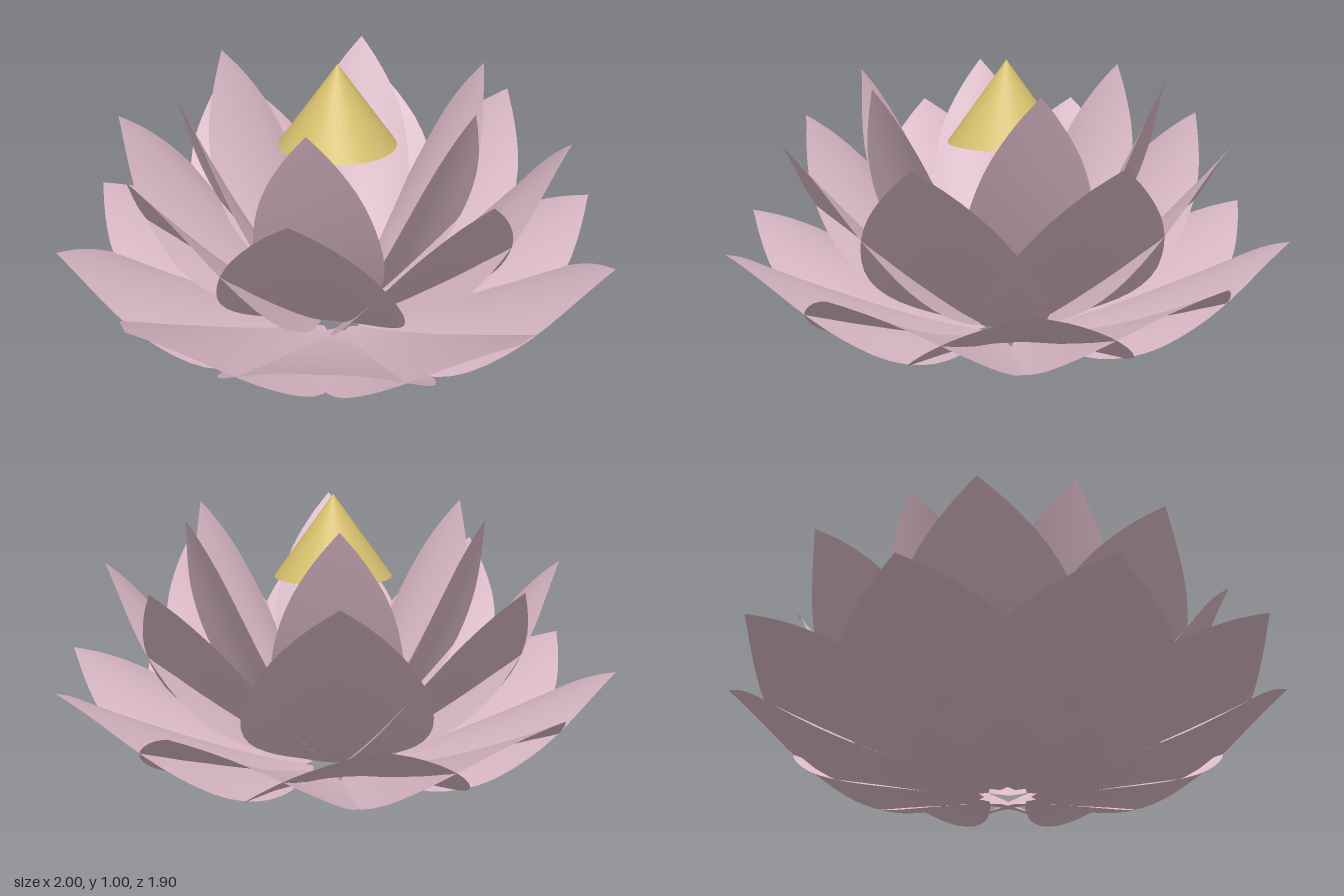
import * as THREE from 'three';

const petalPink = new THREE.MeshStandardMaterial({ color: 0xd8b7c4, side: THREE.DoubleSide });
petalPink.name = 'petalPink';
const seedGold = new THREE.MeshStandardMaterial({ color: 0xd4be6c });
seedGold.name = 'seedGold';

// Half-width of a petal along its length: [distance from the centre, half-width]
const BASE = 0.08, WIDEST = 0.36;
const outline = new THREE.SplineCurve([
  [BASE, 0], [0.11, 0.05], [0.17, 0.125], [0.27, 0.24], [0.4, 0.33], [0.54, WIDEST],
  [0.68, 0.325], [0.8, 0.25], [0.91, 0.13], [1, 0],
].map(([r, w]) => new THREE.Vector2(r, w)));

// A petal that reaches along +x with a raised midrib and drooping sides, tilted about the flower's base
function petalGeometry({ tilt, length, width }) {
  const across = 8, along = 24, droop = 0.07;
  const geometry = new THREE.PlaneGeometry(1, 1, across, along);
  const position = geometry.attributes.position;
  for (let i = 0; i <= along; i++) {
    const { x: r, y } = outline.getPoint(i / along);
    const half = Math.max(y, 0);
    const t = Math.max((r - BASE) / (1 - BASE), 0);
    const slope = Math.atan(0.565 * Math.pow(t, 0.3));
    for (let j = 0; j <= across; j++) {
      const u = (j / across) * 2 - 1;
      const drop = droop * width * Math.pow((u * half) / WIDEST, 2);
      position.setXYZ(i * (across + 1) + j,
        (r + drop * Math.sin(slope)) * length,
        (0.4 * Math.pow(t, 1.3) - drop * Math.cos(slope)) * length,
        -u * half * width);
    }
  }
  geometry.rotateZ(tilt);
  geometry.computeVertexNormals();
  return geometry;
}

export function createModel() {
  const model = new THREE.Group();
  model.name = 'waterLily';

  // Three rings of petals, each steeper and narrower than the last
  const rings = [
    { name: 'outerPetal', count: 10, start: 0, tilt: 0, length: 1, width: 1 },
    { name: 'middlePetal', count: 8, start: 15.5, tilt: 0.373, length: 1.031, width: 0.86 },
    { name: 'innerPetal', count: 6, start: 30, tilt: 0.651, length: 1.022, width: 0.61 },
  ];
  for (const ring of rings) {
    const geometry = petalGeometry(ring);
    const group = new THREE.Group();
    group.name = ring.name + 'Ring';
    for (let i = 0; i < ring.count; i++) {
      const petal = new THREE.Mesh(geometry, petalPink);
      petal.name = ring.name;
      petal.rotation.y = -THREE.MathUtils.degToRad(ring.start) - (i / ring.count) * Math.PI * 2;
      group.add(petal);
    }
    model.add(group);
  }

  // Golden cone at the heart of the flower
  const heart = new THREE.Mesh(new THREE.ConeGeometry(0.21, 0.29, 32), seedGold);
  heart.name = 'flowerHeart';
  heart.position.y = 0.855;
  model.add(heart);

  return model;
}
